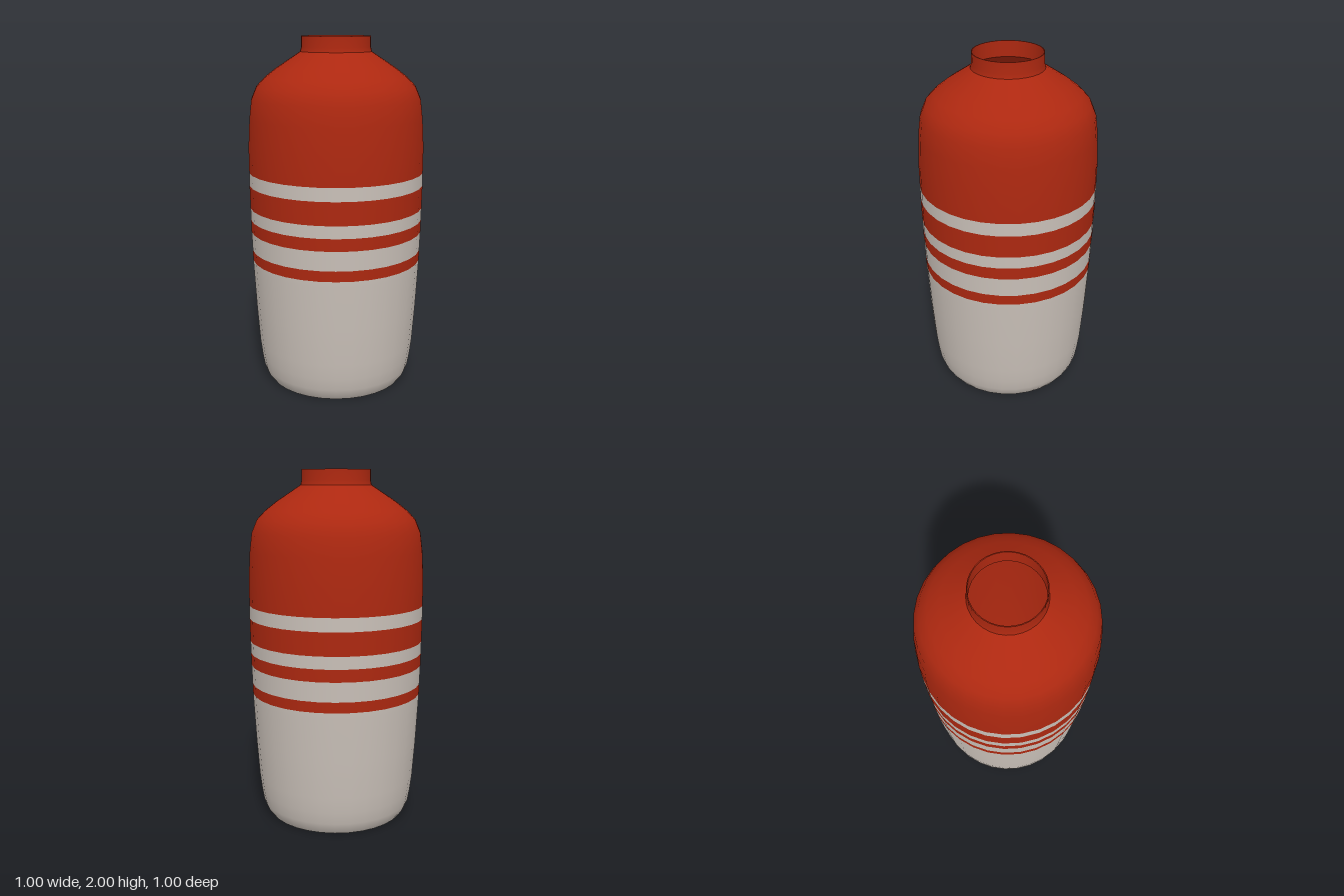
import * as THREE from 'three';

const SEGMENTS = 32;
const PHASE = -0.052;

// Outer wall as [radius, height], from foot to neck
const WALL = [
  [0.40, 0], [0.421, 0.03], [0.437, 0.07], [0.449, 0.14], [0.46, 0.23], [0.475, 0.44],
  [0.489, 0.70], [0.496, 0.92], [0.5, 1.15], [0.5, 1.39], [0.491, 1.55],
  [0.478, 1.655], [0.448, 1.725], [0.40, 1.775], [0.336, 1.825], [0.2, 1.915],
];

function radiusAt(y) {
  const i = Math.max(1, WALL.findIndex((p) => p[1] >= y));
  const [r0, y0] = WALL[i - 1];
  const [r1, y1] = WALL[i];
  return r0 + ((r1 - r0) * (y - y0)) / (y1 - y0);
}

// Stretch of the outer wall between two heights
function wallBetween(low, high) {
  return [
    [radiusAt(low), low],
    ...WALL.filter(([, y]) => y > low + 0.001 && y < high - 0.001),
    [radiusAt(high), high],
  ];
}

export function createModel() {
  const red = new THREE.MeshStandardMaterial({ color: 0xad2810 });
  red.name = 'red glaze';
  const cream = new THREE.MeshStandardMaterial({ color: 0xc9c0b8 });
  cream.name = 'pale clay';

  const vase = new THREE.Group();
  vase.name = 'vase';

  function turn(name, profile, material) {
    const points = profile.map(([r, y]) => new THREE.Vector2(r, y));
    const mesh = new THREE.Mesh(new THREE.LatheGeometry(points, SEGMENTS, PHASE), material);
    mesh.name = name;
    vase.add(mesh);
  }

  // Body in alternating bands
  turn('foot', [[0, 0], [0.40, 0]], cream);
  const heights = [0, 0.73, 0.79, 0.90, 0.97, 1.04, 1.17, 1.245, 1.915];
  const names = ['lowerBody', 'redStripe1', 'paleStripe1', 'redStripe2',
    'paleStripe2', 'redStripe3', 'paleStripe3', 'shoulder'];
  names.forEach((name, i) => {
    turn(name, wallBetween(heights[i], heights[i + 1]), i % 2 ? red : cream);
  });

  // Open neck
  turn('neck', [[0.2, 1.915], [0.194, 1.94], [0.194, 2]], red);
  turn('rim', [[0.194, 2], [0.189, 2]], red);
  turn('neckLining', [[0.189, 2], [0.189, 1.91]], red);

  // Inside of the vessel, facing inward
  const lining = WALL.filter(([, y]) => y > 0.02 && y < 1.9)
    .map(([r, y]) => [r - 0.012, y - (y > 1.6 ? 0.01 : 0)])
    .reverse();
  turn('bodyLining', [[0.189, 1.91], ...lining], red);
  turn('innerFloor', [[0.409, 0.03], [0, 0.03]], red);

  return vase;
}
